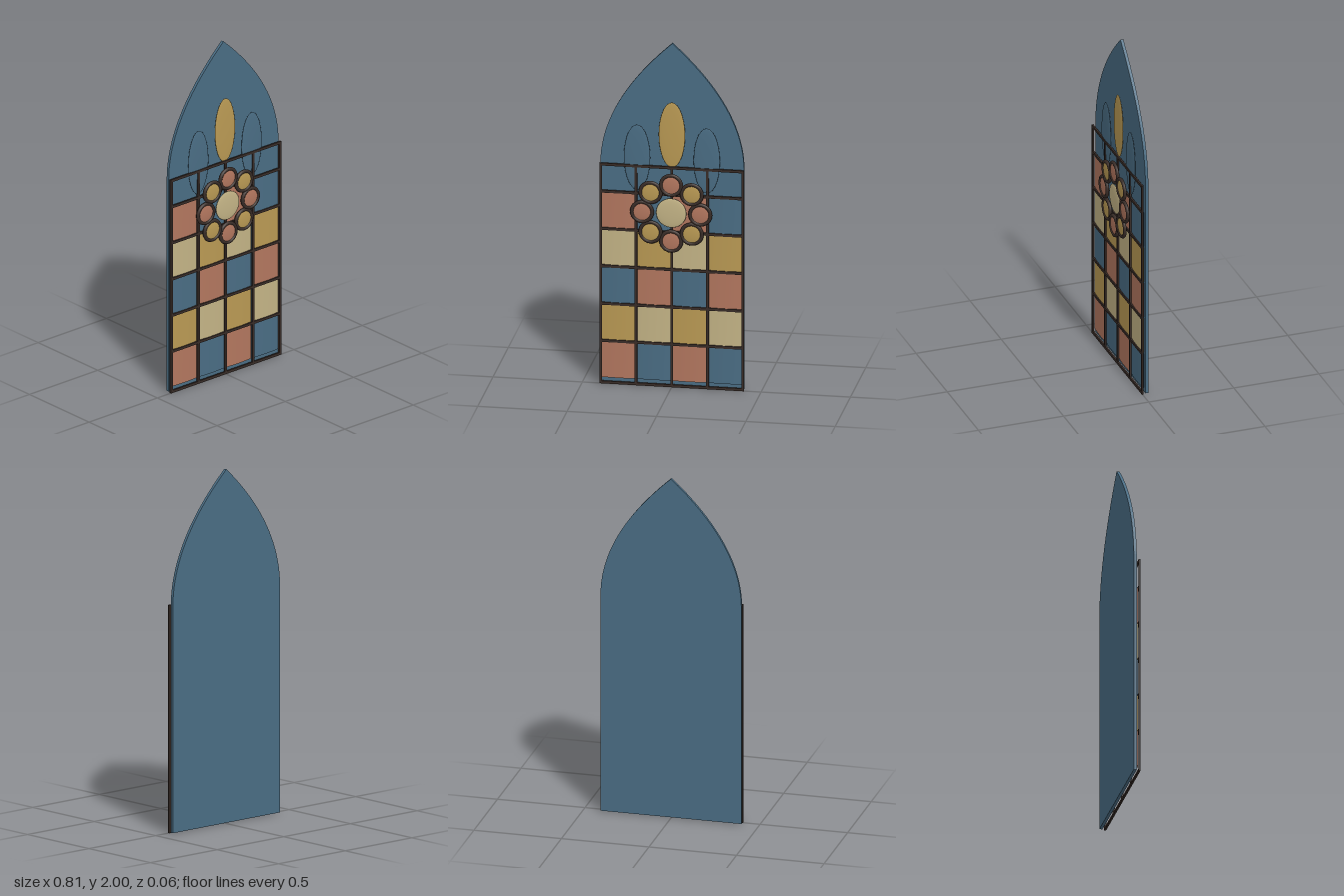
import * as THREE from 'three';

const material = (name, color) => {
  const m = new THREE.MeshStandardMaterial({ color });
  m.name = name;
  return m;
};

export function createModel() {
  const blue = material('blue glass', 0x4a6d84);
  const red = material('red glass', 0xb3775f);
  const gold = material('gold glass', 0xba9a54);
  const cream = material('cream glass', 0xc4b486);
  const lead = material('dark lead', 0x382c27);

  const model = new THREE.Group();
  model.name = 'archedWindow';
  const add = (parent, name, geometry, mat, x, y, z) => {
    const mesh = new THREE.Mesh(geometry, mat);
    mesh.name = name;
    mesh.position.set(x, y, z);
    parent.add(mesh);
    return mesh;
  };
  const group = (name) => {
    const g = new THREE.Group();
    g.name = name;
    model.add(g);
    return g;
  };

  // Pointed-arch backing slab
  const arch = new THREE.Shape();
  arch.moveTo(-0.402, 0.005);
  arch.lineTo(0.402, 0.005);
  arch.lineTo(0.402, 1.28);
  arch.quadraticCurveTo(0.402, 1.64, 0, 2);
  arch.quadraticCurveTo(-0.402, 1.64, -0.402, 1.28);
  arch.closePath();
  const slab = new THREE.ExtrudeGeometry(arch, { depth: 0.017, bevelEnabled: false, curveSegments: 20 });
  add(model, 'archSlab', slab, blue, 0, 0, -0.034);

  // Gently bowed panes, five rows of four
  const panes = group('panes');
  const paneGeometry = new THREE.BoxGeometry(0.19, 0.21, 0.006, 8, 1, 1);
  const p = paneGeometry.attributes.position;
  for (let i = 0; i < p.count; i++) {
    if (p.getZ(i) > 0) p.setZ(i, p.getZ(i) + 0.005 * (1 - (p.getX(i) / 0.095) ** 2));
  }
  paneGeometry.computeVertexNormals();
  const rows = [[red, blue], [gold, cream], [blue, red], [cream, gold], [red, blue]];
  rows.forEach((colors, r) => {
    for (let c = 0; c < 4; c++) {
      add(panes, 'pane', paneGeometry, colors[c % 2], -0.295 + c * 0.1967, 0.14 + r * 0.218, -0.01);
    }
  });

  // Lead lattice
  const lattice = group('lattice');
  for (const x of [-0.397, -0.2, 0, 0.2, 0.397]) {
    add(lattice, 'verticalBar', new THREE.BoxGeometry(0.014, 1.28, 0.01), lead, x, 0.645, -0.001);
  }
  for (const y of [0.008, 0.25, 0.467, 0.686, 0.904, 1.122, 1.28]) {
    add(lattice, 'horizontalBar', new THREE.BoxGeometry(0.808, 0.015, 0.01), lead, 0, y, -0.001);
  }

  // Upright oval lights in the arch
  const ovals = group('ovalLights');
  const ball = new THREE.SphereGeometry(1, 24, 14);
  for (const [x, y, mat] of [[-0.195, 1.33, blue], [0, 1.47, gold], [0.195, 1.33, blue]]) {
    add(ovals, 'ovalLight', ball, mat, x, y, -0.006).scale.set(0.074, 0.19, 0.006);
  }

  // Rosette: a central disc ringed by eight framed medallions
  const rosette = group('rosette');
  rosette.position.set(0, 1.022, 0.02);
  add(rosette, 'centreDisc', ball, cream, 0, 0, -0.004).scale.set(0.085, 0.085, 0.008);
  const ring = new THREE.TorusGeometry(0.057, 0.0105, 8, 28);
  for (let i = 0; i < 8; i++) {
    const a = (i * Math.PI) / 4;
    const x = 0.163 * Math.cos(a), y = 0.163 * Math.sin(a);
    add(rosette, 'medallionGlass', ball, i % 2 ? gold : red, x, y, 0).scale.set(0.057, 0.057, 0.008);
    add(rosette, 'medallionRing', ring, lead, x, y, 0);
  }
  return model;
}
